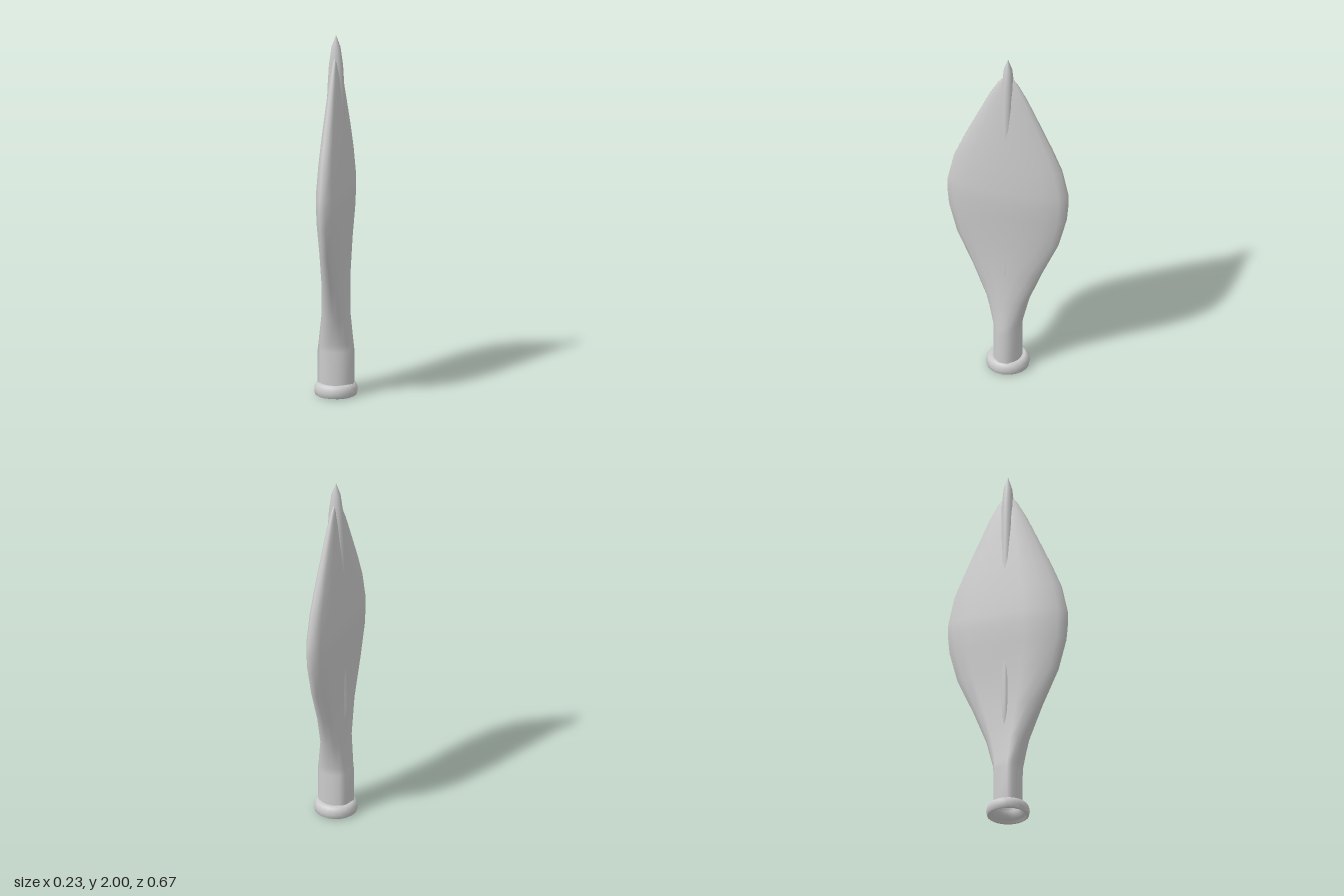
import * as THREE from 'three';

const material = new THREE.MeshStandardMaterial({ color: 0xcccccc, side: THREE.DoubleSide });

// Smooth loft of closed outlines: rows are [y, half width x, half width z].
function loft(rows, outline) {
  const n = outline.length, positions = [], index = [];
  for (const [y, hx, hz] of rows)
    for (const [u, v] of outline) positions.push(u * hx, y, v * hz);
  for (let i = 0; i < rows.length - 1; i++)
    for (let j = 0; j < n; j++) {
      const a = i * n + j, b = i * n + (j + 1) % n;
      index.push(a, a + n, b, b, a + n, b + n);
    }
  const geometry = new THREE.BufferGeometry();
  geometry.setAttribute('position', new THREE.Float32BufferAttribute(positions, 3));
  geometry.setIndex(index);
  geometry.computeVertexNormals();
  return geometry;
}

// Mirror a quarter outline (from +x towards +z) to all four quadrants.
function mirrorQuarter(quarter) {
  const half = [...quarter, ...quarter.slice(1).reverse().map(([u, v]) => [-u, v])];
  return [...half, ...half.slice(1, -1).reverse().map(([u, v]) => [u, -v])];
}

export function createModel() {
  const model = new THREE.Group();
  const add = (name, geometry) => {
    const mesh = new THREE.Mesh(geometry, material);
    mesh.name = name;
    model.add(mesh);
  };

  // Leaf-shaped blade running down into the hollow socket
  const lens = mirrorQuarter([[1, 0], [0.97, 0.33], [0.78, 0.66], [0.52, 0.885], [0.2, 1]]);
  add('bladeAndSocket', loft([
    [0.03, 0.098, 0.075], [0.25, 0.098, 0.075], [0.29, 0.093, 0.077],
    [0.44, 0.074, 0.115], [0.63, 0.065, 0.19], [0.83, 0.064, 0.28],
    [1.0, 0.075, 0.324], [1.1, 0.078, 0.333], [1.17, 0.078, 0.331],
    [1.32, 0.068, 0.298], [1.45, 0.058, 0.244], [1.6, 0.044, 0.175],
    [1.75, 0.029, 0.105], [1.84, 0.015, 0.055], [1.88, 0.006, 0.022], [1.895, 0, 0],
  ], lens));

  // Slender core rod, surfacing as the rib and the pointed tip
  const round = Array.from({ length: 16 }, (_, i) => {
    const t = i * Math.PI / 8;
    return [Math.cos(t), Math.sin(t)];
  });
  add('coreAndTip', loft([
    [0.4, 0, 0], [0.45, 0.06, 0.035], [0.65, 0.067, 0.037], [0.85, 0.063, 0.037],
    [1.2, 0.057, 0.036], [1.5, 0.053, 0.036], [1.7, 0.047, 0.036],
    [1.83, 0.039, 0.033], [1.93, 0.025, 0.023], [2, 0, 0],
  ], round));

  // Rounded collar ring at the mouth of the socket
  const profile = [
    [0.072, 0.065], [0.072, 0.035], [0.092, 0.022], [0.1, 0.004], [0.106, 0],
    [0.113, 0.005], [0.117, 0.025], [0.115, 0.045], [0.106, 0.062], [0.092, 0.07], [0.072, 0.065],
  ].map(([r, y]) => new THREE.Vector2(r, y));
  add('collar', new THREE.LatheGeometry(profile, 20));

  return model;
}
